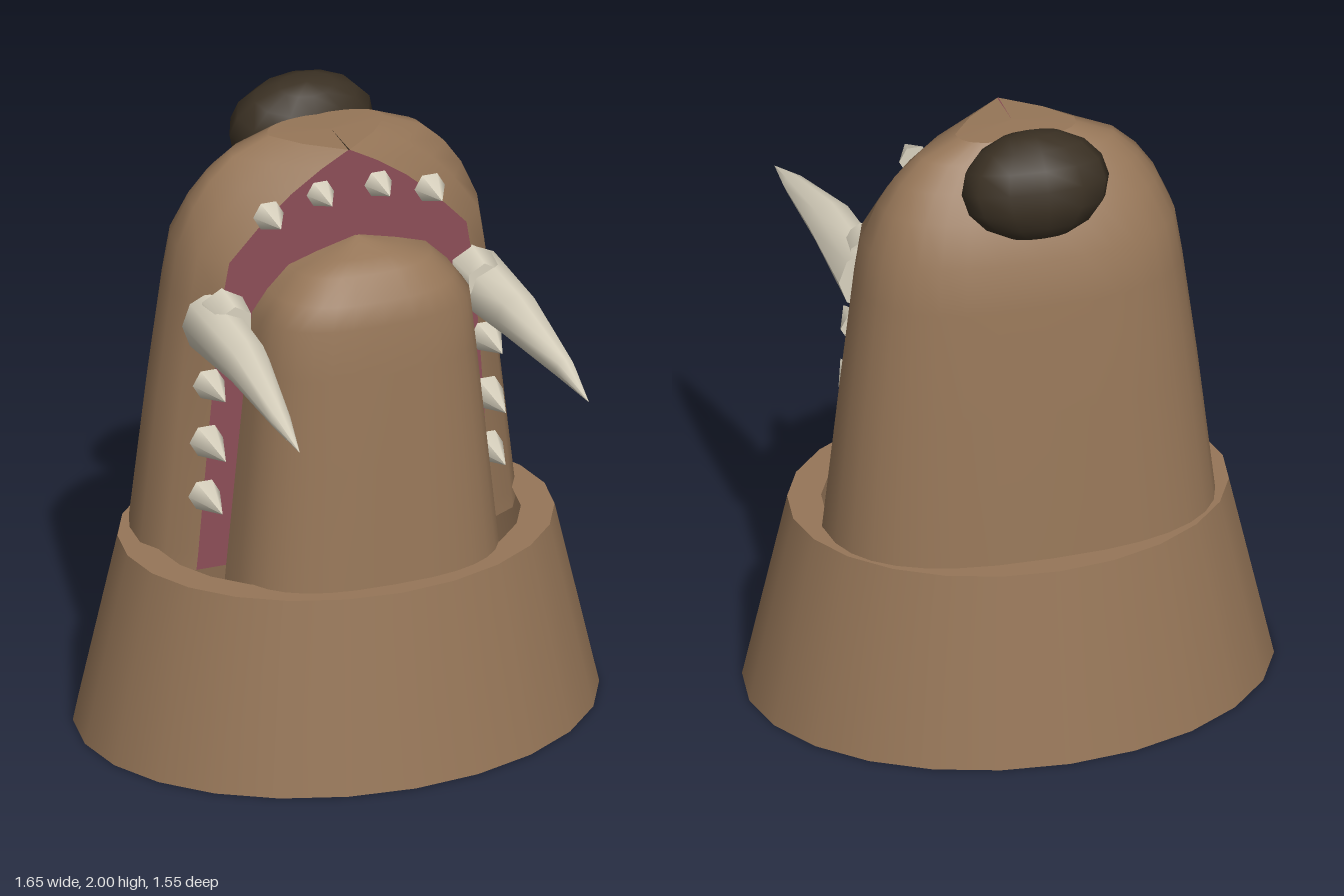
import * as THREE from 'three';

const material = (name, color) =>
  new THREE.MeshStandardMaterial({ name, color, side: THREE.DoubleSide });

// Smooth surface through rows of [x, y, z] points, all rows equally long
function loft(rows) {
  const n = rows[0].length, index = [];
  for (let r = 0; r < rows.length - 1; r++) {
    for (let i = 0; i < n - 1; i++) {
      const a = r * n + i, b = a + n;
      index.push(a, b, a + 1, a + 1, b, b + 1);
    }
  }
  const g = new THREE.BufferGeometry();
  g.setAttribute('position', new THREE.Float32BufferAttribute(rows.flat(2), 3));
  g.setIndex(index);
  g.computeVertexNormals();
  return g;
}

// Half super-ellipse from +x through the z extreme to -x
function arc(w, y, z0, z1, power, steps = 16) {
  const pts = [];
  for (let i = 0; i <= steps; i++) {
    const t = Math.PI * i / steps, c = Math.cos(t), s = Math.max(0, Math.sin(t));
    pts.push([w * Math.sign(c) * Math.abs(c) ** power, y, z0 + (z1 - z0) * s ** power]);
  }
  return pts;
}

export function createModel() {
  const model = new THREE.Group();
  const fur = material('brown fur', 0x967658);
  const gum = material('dark pink gum', 0x8f4f59);
  const ivory = material('ivory', 0xd8d1be);
  const dark = material('dark nose', 0x3a3023);

  const add = (name, geometry, mat, parent = model) => {
    const mesh = new THREE.Mesh(geometry, mat);
    mesh.name = name;
    parent.add(mesh);
    return mesh;
  };

  // Oval sleeve, open below, with a flat rim around the jaws
  const sleeve = add('sleeve', new THREE.CylinderGeometry(0.685, 0.825, 0.615, 24, 1, true), fur);
  sleeve.position.set(0, 0.3075, -0.118);
  sleeve.scale.z = 0.802;
  const oval = (rx, rz) => Array.from({ length: 25 }, (_, i) => {
    const t = i / 24 * Math.PI * 2;
    return [rx * Math.sin(t), 0.615, -0.118 + rz * Math.cos(t)];
  });
  add('sleeveRim', loft([oval(0.58, 0.46), oval(0.685, 0.55)]), fur);

  // Upper muzzle by height: [y, half width, front half width, back z]
  const muzzle = [
    [0.56, 0.621, 0.485, -0.59], [0.615, 0.615, 0.48, -0.585], [1.1, 0.56, 0.445, -0.543],
    [1.45, 0.515, 0.415, -0.51], [1.6, 0.492, 0.39, -0.485], [1.72, 0.44, 0.28, -0.42],
    [1.8, 0.385, 0.19, -0.37], [1.87, 0.31, 0.09, -0.32], [1.92, 0.19, 0.002, -0.28],
  ];
  const frontZ = y => -0.05 + 0.04 * (y - 0.615) / 1.305;
  const rows = muzzle.map(([y, w, f, back]) => {
    const z = frontZ(y), mid = (f + w) / 2 + 0.02;
    return [[f, y, z], [mid, y, -0.1], ...arc(w, y, -0.19, back, 0.78), [-mid, y, -0.1], [-f, y, z]];
  });
  add('upperMuzzle', loft(rows), fur);
  const top = rows[rows.length - 1];
  add('upperMuzzleTop', loft([top, top.map(() => [0, 1.924, -0.16])]), fur);
  add('gum', loft(muzzle.map(([y, , f]) => [[-f, y, frontZ(y)], [f, y, frontZ(y)]])), gum);

  // Lower jaw by height: [y, half width, front z]
  const jaw = [
    [0.56, 0.435, 0.375], [0.615, 0.43, 0.37], [1.0, 0.392, 0.337], [1.3, 0.362, 0.311],
    [1.46, 0.345, 0.295], [1.53, 0.295, 0.27], [1.6, 0.225, 0.215], [1.63, 0.13, 0.16],
    [1.662, 0.004, 0.06],
  ];
  add('lowerJaw', loft(jaw.map(([y, w, z]) => arc(w, y, 0.055, z, 0.75))), fur);
  add('lowerJawGum', loft(jaw.map(([y, w]) => [[w, y, 0.055], [-w, y, 0.055]])), gum);

  // Nose
  const nose = add('nose', new THREE.SphereGeometry(1, 12, 8), dark);
  nose.scale.set(0.235, 0.172, 0.148);
  nose.position.set(0, 1.831, -0.408);
  nose.rotation.x = 0.3;

  // Tusk cross-sections: [z, centre x, centre y, radius x, radius y]
  const tusk = [
    [-0.07, 0.437, 1.387, 0.001, 0.001], [-0.07, 0.437, 1.387, 0.088, 0.1],
    [0.27, 0.446, 1.402, 0.073, 0.073], [0.6, 0.468, 1.367, 0.033, 0.033],
    [0.775, 0.475, 1.335, 0.001, 0.001],
  ];
  // Small teeth: [x, y, tip z, radius]
  const teeth = [
    [0.465, 0.82, 0.115, 0.052], [0.46, 1.005, 0.13, 0.055], [0.455, 1.2, 0.115, 0.052],
    [0.265, 1.745, 0.095, 0.05], [0.095, 1.79, 0.09, 0.045],
  ];
  for (const side of [1, -1]) {
    const group = new THREE.Group();
    group.name = side > 0 ? 'leftTeeth' : 'rightTeeth';
    model.add(group);
    const rings = tusk.map(([z, x, y, rx, ry]) => Array.from({ length: 9 }, (_, i) => {
      const t = i / 8 * Math.PI * 2 * side;
      return [side * x + rx * Math.cos(t), y + ry * Math.sin(t), z];
    }));
    add('tuskBase', loft(rings.slice(0, 2)), ivory, group);
    add('tusk', loft(rings.slice(1)), ivory, group);
    // Stub tucked beside the tusk
    const stub = add('tuskStub', new THREE.CylinderGeometry(0.06, 0.075, 0.11, 6), ivory, group);
    stub.rotation.x = Math.PI / 2;
    stub.position.set(side * 0.41, 1.44, 0.025);
    for (const [x, y, tip, r] of teeth) {
      const back = frontZ(y) + 0.005, length = tip - back;
      const tooth = add('tooth', new THREE.ConeGeometry(r, length, 6), ivory, group);
      tooth.rotation.set(Math.PI / 2, Math.PI / 6, 0);
      tooth.position.set(side * x, y, back + length / 2);
    }
  }
  return model;
}
